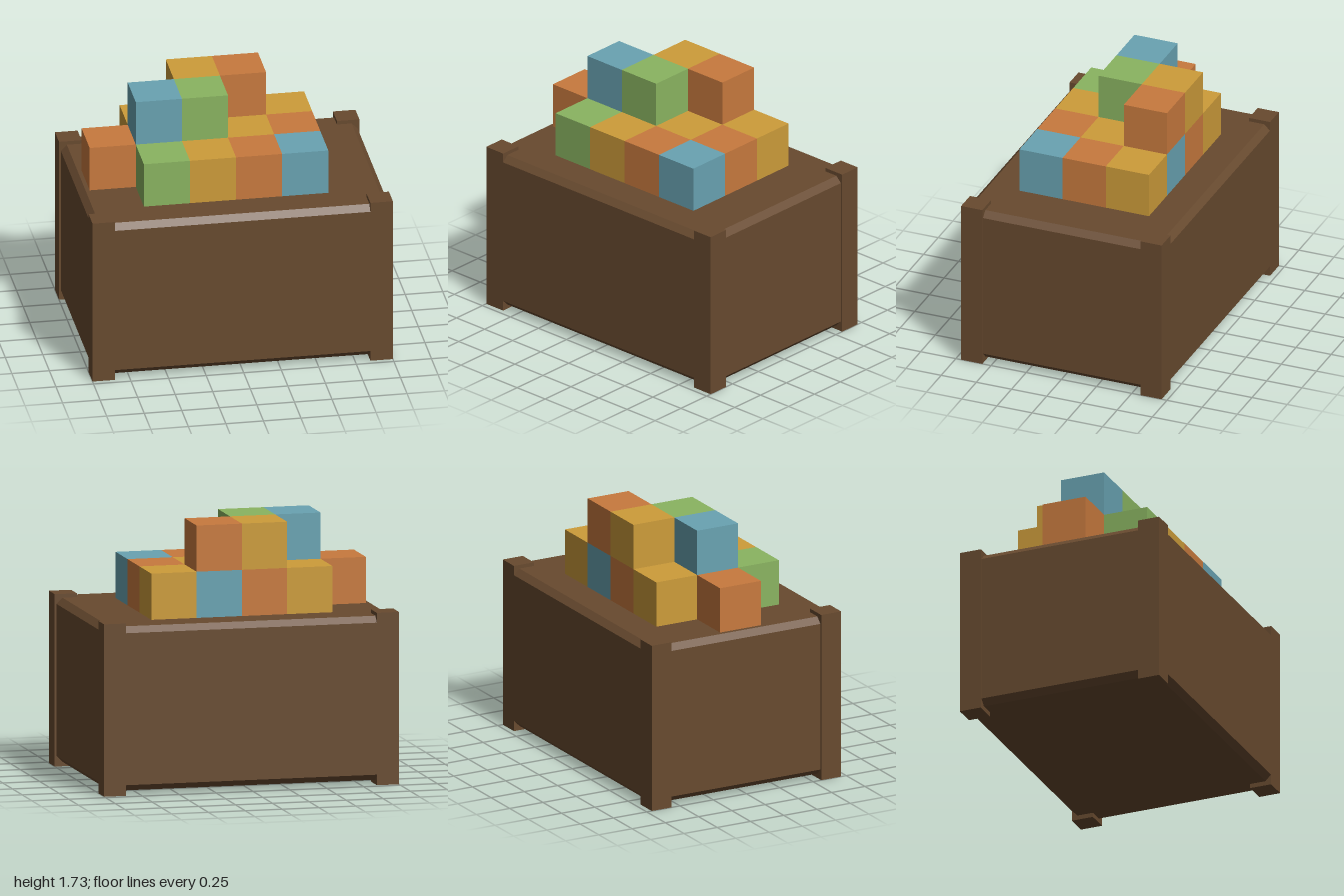
import * as THREE from 'three';

const mat = (name, color) => {
  const m = new THREE.MeshStandardMaterial({ color });
  m.name = name;
  return m;
};

export function createModel() {
  const group = new THREE.Group();
  group.name = 'crateOfBlocks';
  const wood = mat('brown wood', 0x684a2f);
  const paints = {
    B: mat('blue', 0x69a3b2),
    G: mat('green', 0x8ab461),
    Y: mat('yellow', 0xcd9c3a),
    O: mat('orange', 0xc87a3e),
  };
  const add = (name, geometry, material, x, y, z) => {
    const mesh = new THREE.Mesh(geometry, material);
    mesh.name = name;
    mesh.position.set(x, y, z);
    group.add(mesh);
  };

  // Crate body: a box with chamfered top and bottom rims
  const bevel = 0.04, hx = 0.988, hz = 0.711, bottom = 0.03, top = 1.12;
  const outline = new THREE.Shape([
    new THREE.Vector2(-hx, -hz), new THREE.Vector2(hx, -hz),
    new THREE.Vector2(hx, hz), new THREE.Vector2(-hx, hz),
  ]);
  const body = new THREE.ExtrudeGeometry(outline, {
    depth: top - bottom - 2 * bevel, bevelThickness: bevel, bevelSize: bevel,
    bevelOffset: -bevel, bevelSegments: 1,
  });
  body.rotateX(-Math.PI / 2);
  add('crateBody', body, wood, 0, bottom + bevel, 0);

  // Corner posts, which also form the feet
  const post = 0.15, postHeight = 1.145, postZ = 0.712;
  const postGeometry = new THREE.BoxGeometry(post, postHeight, post);
  for (const sx of [-1, 1]) {
    for (const sz of [-1, 1]) {
      add('cornerPost', postGeometry, wood,
        sx * (1 - post / 2), postHeight / 2, sz * (postZ - post / 2));
    }
  }

  // Stacked blocks: each layer lists rows from back to front, columns from -x to +x
  const size = 0.307;
  const block = new THREE.BoxGeometry(size, size, size);
  const layers = [
    ['.YOBY', 'OOBYO', '.GYOB'],
    ['..YO.', '.BG..', '.....'],
  ];
  layers.forEach((rows, level) => rows.forEach((row, r) => [...row].forEach((key, c) => {
    if (key === '.') return;
    add('toyBlock', block, paints[key],
      (c - 2.5) * size, top + (level + 0.5) * size, (r - 1) * size - 0.001);
  })));

  return group;
}
